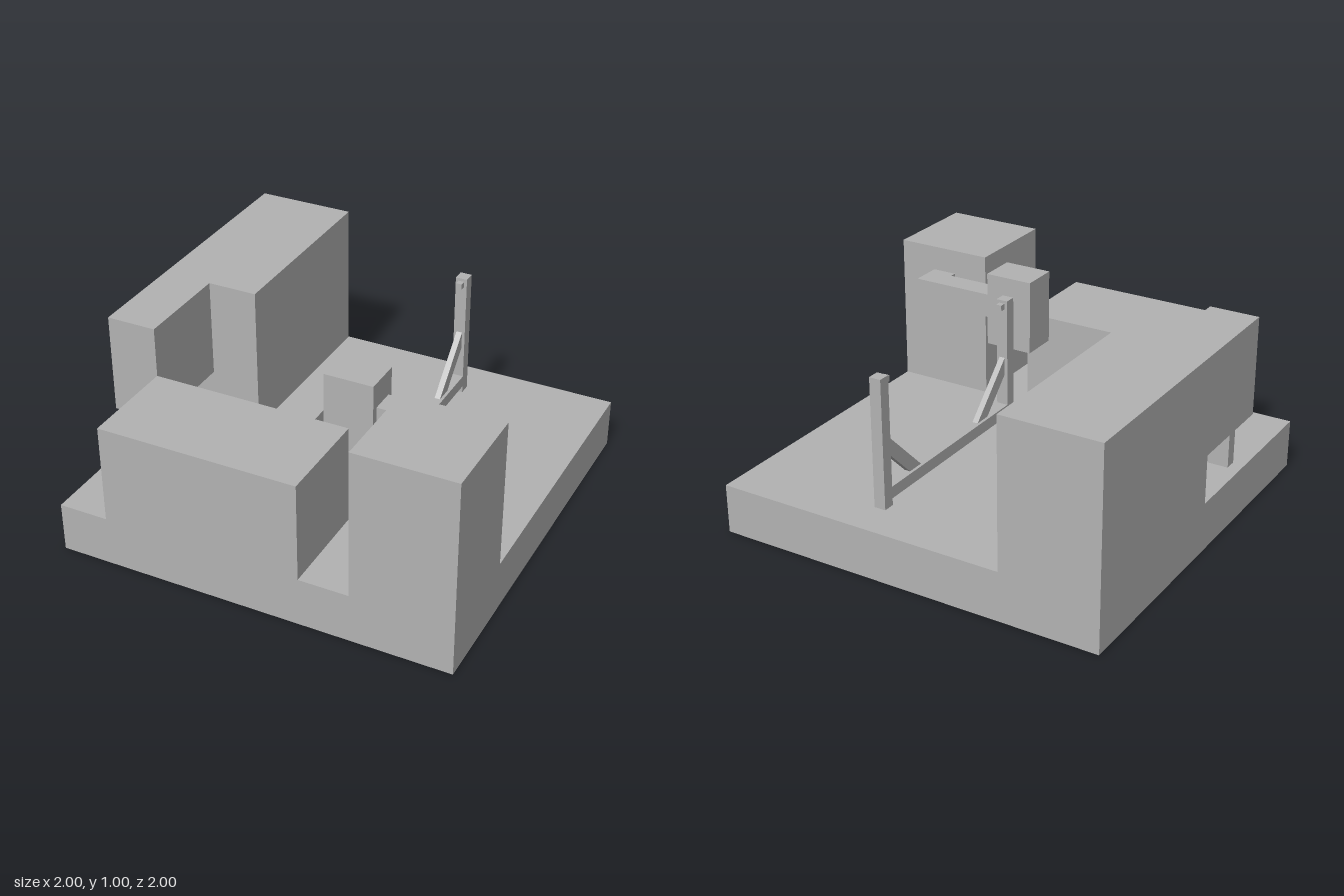
import * as THREE from 'three';

export function createModel() {
  const model = new THREE.Group();
  model.name = 'blockyCourtyard';
  const grey = new THREE.MeshStandardMaterial({ color: 0xb3b3b3 });
  grey.name = 'plain grey';

  // Box given by its extents on each axis
  const block = (name, [x0, x1], [y0, y1], [z0, z1], parent = model) => {
    const mesh = new THREE.Mesh(new THREE.BoxGeometry(x1 - x0, y1 - y0, z1 - z0), grey);
    mesh.position.set((x0 + x1) / 2, (y0 + y1) / 2, (z0 + z1) / 2);
    mesh.name = name;
    parent.add(mesh);
  };

  // Ground slab and the big masses standing on it
  block('base', [-1, 1], [0, 0.25], [-1, 1]);
  block('frontWall', [-0.75, 0.25], [0.25, 0.75], [0.5, 1]);
  block('cornerTower', [0.5, 1], [0.25, 1], [0.5, 1]);
  block('rearBuilding', [-1, -0.5], [0.25, 1], [-1, 0]);

  // Overhanging wing on two short pillars
  block('overhang', [-1, -0.75], [0.5, 1], [0, 0.5]);
  for (const z of [0.095, 0.41]) {
    block('overhangPillar', [-0.94, -0.815], [0.25, 0.5], [z - 0.0315, z + 0.0315]);
  }

  // Low bench inside the yard
  block('bench', [-0.315, -0.19], [0.25, 0.375], [-0.315, 0.5]);

  // Raised box with an L-shaped arm reaching to the tower
  block('raisedBox', [0.125, 0.37], [0.628, 1], [0.313, 0.5]);
  block('arm', [0.37, 0.81], [0.755, 0.875], [0.345, 0.467]);
  block('armEnd', [0.685, 0.81], [0.755, 0.875], [0.467, 0.5]);

  // Frame: a rail between two braced posts, one half turned about the centre
  const frame = new THREE.Group();
  frame.name = 'postFrame';
  frame.position.set(0.25, 0, -0.2475);
  model.add(frame);
  block('rail', [-0.03, 0.03], [0.285, 0.345], [-0.5025, 0.5025], frame);

  const braceShape = new THREE.Shape([
    [0.2475, 0.345], [0.3375, 0.345], [0.5025, 0.51], [0.5025, 0.6],
  ].map(([z, y]) => new THREE.Vector2(z, y)));
  const braceGeometry = new THREE.ExtrudeGeometry(braceShape, { depth: 0.03, bevelEnabled: false });
  braceGeometry.rotateY(-Math.PI / 2).translate(0.015, 0, 0);

  for (const turn of [0, Math.PI]) {
    const half = new THREE.Group();
    half.name = turn ? 'rearPostGroup' : 'frontPostGroup';
    half.rotation.y = turn;
    block('post', [-0.03, 0.03], [0.25, 0.905], [0.5025, 0.5625], half);
    block('peg', [-0.015, 0.015], [0.86, 0.89], [0.4725, 0.5025], half);
    const brace = new THREE.Mesh(braceGeometry, grey);
    brace.name = 'brace';
    half.add(brace);
    frame.add(half);
  }
  return model;
}
